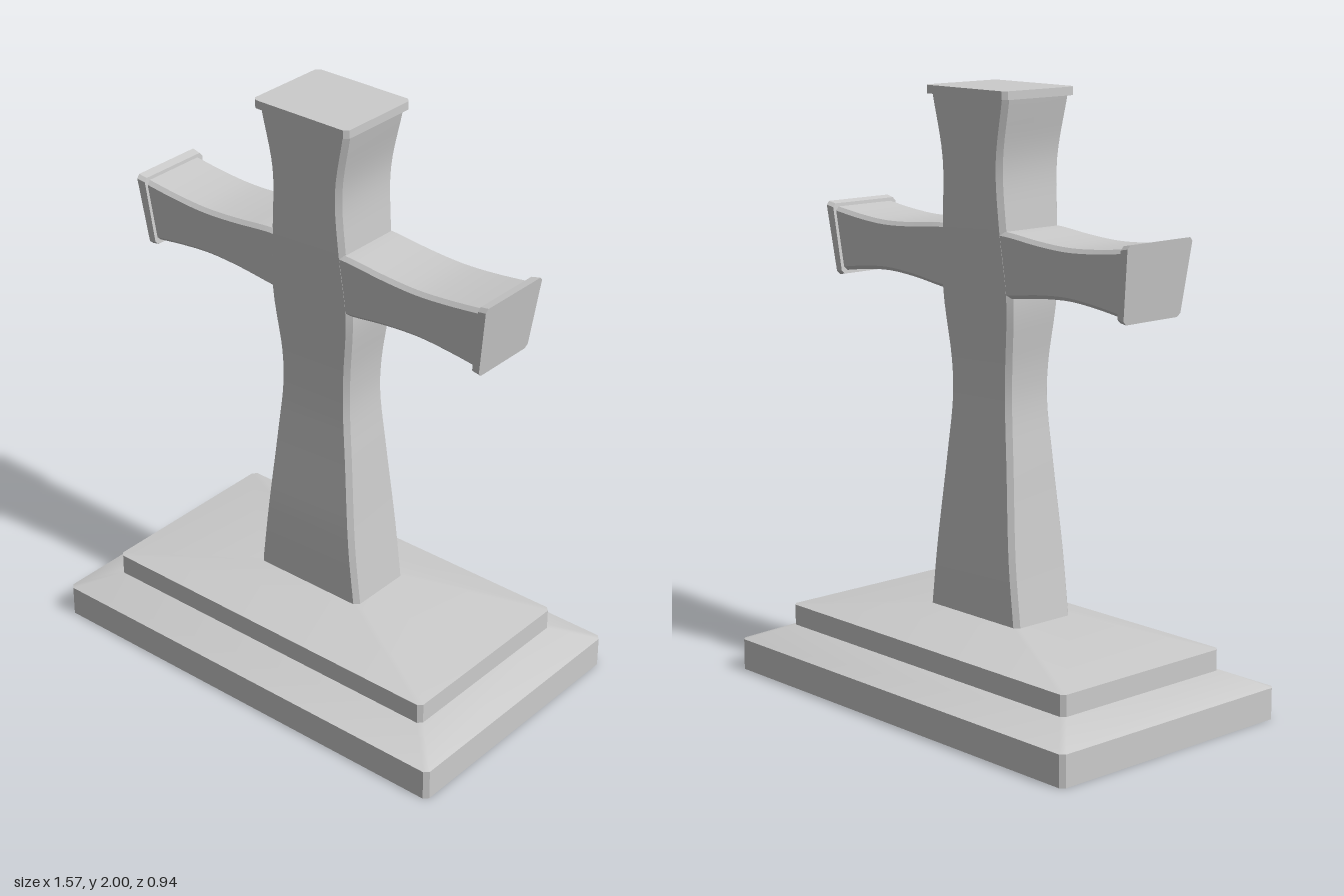
import * as THREE from 'three';
import { toCreasedNormals } from 'three/addons/utils/BufferGeometryUtils.js';

const material = new THREE.MeshStandardMaterial({ color: 0xcccccc });
const V = (x, y, z) => new THREE.Vector3(x, y, z);

// Cut each of four corners into two points, giving an eight-sided ring
function chamfer(corners, c) {
  return corners.flatMap((p, i) => [corners[(i + 3) % 4], corners[(i + 1) % 4]].map((q) =>
    p.clone().add(q.clone().sub(p).setLength(c))));
}

// Horizontal ring with half sizes hx, hz at height y
const levelRing = (hx, y, hz, c) =>
  chamfer([V(-hx, y, hz), V(hx, y, hz), V(hx, y, -hz), V(-hx, y, -hz)], c);

// Upright ring for an arm; b and t are bottom and top edges (x, y, half depth)
const armRing = (b, t, c) =>
  chamfer([V(b.x, b.y, -b.z), V(t.x, t.y, -t.z), V(t.x, t.y, t.z), V(b.x, b.y, b.z)], c);

// Closed skin through a list of rings
function loft(name, rings) {
  const n = rings[0].length, index = [], last = (rings.length - 1) * n;
  for (let i = 0; i < rings.length - 1; i++) {
    for (let j = 0; j < n; j++) {
      const a = i * n + j, b = i * n + (j + 1) % n;
      index.push(a, b, b + n, a, b + n, a + n);
    }
  }
  for (let j = 1; j < n - 1; j++) {
    index.push(0, j + 1, j, last, last + j, last + j + 1);
  }
  const geometry = new THREE.BufferGeometry().setFromPoints(rings.flat());
  geometry.setIndex(index);
  const mesh = new THREE.Mesh(toCreasedNormals(geometry, Math.PI / 6), material);
  mesh.name = name;
  return mesh;
}

const smooth = (points, n) =>
  new THREE.CatmullRomCurve3(points.map((p) => V(...p)), false, 'centripetal').getPoints(n);

function createArm(name) {
  const arm = new THREE.Group();
  arm.name = name;
  // Gently waisted beam with a tilted end
  const bottom = smooth([[0.1, 1.345, 0.11], [0.17, 1.35, 0.11], [0.3, 1.367, 0.112], [0.43, 1.374, 0.113], [0.55, 1.364, 0.112], [0.66, 1.348, 0.11]], 20);
  const top = smooth([[0.1, 1.562, 0.125], [0.17, 1.56, 0.125], [0.3, 1.547, 0.125], [0.43, 1.541, 0.125], [0.55, 1.548, 0.125], [0.685, 1.564, 0.126]], 20);
  arm.add(loft('armBeam', bottom.map((b, i) => armRing(b, top[i], 0.013))));
  // End plate
  arm.add(loft('armEndPlate', [
    armRing(V(0.65, 1.338, 0.122), V(0.677, 1.574, 0.137), 0.012),
    armRing(V(0.675, 1.334, 0.122), V(0.708, 1.58, 0.14), 0.012),
  ]));
  return arm;
}

export function createModel() {
  const model = new THREE.Group();
  model.name = 'standingCross';

  // Stepped plinth with sloping tops
  model.add(loft('lowerStep', [
    levelRing(0.787, 0, 0.472, 0.015),
    levelRing(0.787, 0.105, 0.472, 0.015),
    levelRing(0.66, 0.16, 0.347, 0.014),
  ]));
  model.add(loft('upperStep', [
    levelRing(0.66, 0.16, 0.347, 0.014),
    levelRing(0.66, 0.23, 0.347, 0.014),
    levelRing(0.215, 0.29, 0.124, 0.012),
  ]));

  // Waisted post
  const post = smooth([
    [0.213, 0.285, 0.122], [0.188, 0.5, 0.12], [0.158, 0.8, 0.102], [0.14, 1.0, 0.092],
    [0.143, 1.12, 0.094], [0.165, 1.345, 0.11], [0.149, 1.56, 0.125],
    [0.14, 1.77, 0.132], [0.178, 1.975, 0.14],
  ], 40);
  model.add(loft('post', post.map((p) => levelRing(p.x, p.y, p.z, 0.016))));

  // Cap on top of the post
  model.add(loft('postCap', [
    levelRing(0.187, 1.973, 0.153, 0.014),
    levelRing(0.187, 2, 0.153, 0.014),
  ]));

  // Mirrored arms
  const rightArm = createArm('rightArm');
  rightArm.rotation.y = Math.PI;
  model.add(createArm('leftArm'), rightArm);
  return model;
}
